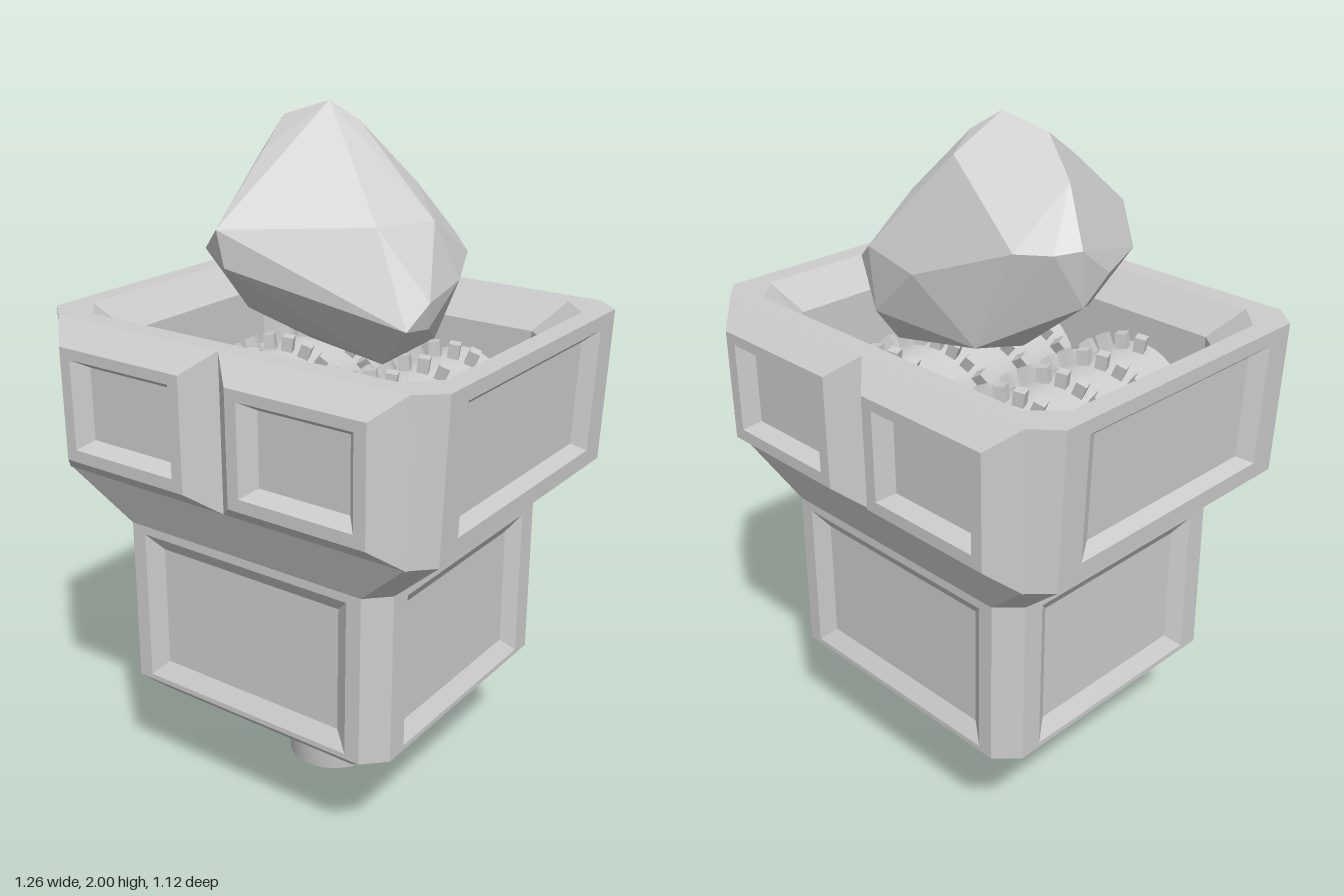
import * as THREE from 'three';
import { ConvexGeometry } from 'three/addons/geometries/ConvexGeometry.js';

const V = (x, y, z) => new THREE.Vector3(x, y, z);
const material = new THREE.MeshStandardMaterial({ color: 0xcccccc, side: THREE.DoubleSide });
const flat = new THREE.MeshStandardMaterial({ color: 0xcccccc, flatShading: true });

function mesh(name, geometry, mat = material) {
  const m = new THREE.Mesh(geometry, mat);
  m.name = name;
  return m;
}

// Octagonal cross-section, starting with the front side, anticlockwise from above
function octagon(y, x, z, cx, cz = cx) {
  return [[-x + cx, z], [x - cx, z], [x, z - cz], [x, cz - z],
    [x - cx, -z], [cx - x, -z], [-x, cz - z], [-x, z - cz]].map(([a, b]) => V(a, y, b));
}

// Collects polygons into one faceted geometry
class Facets {
  constructor() { this.points = []; }
  polygon(p) {
    for (let i = 1; i < p.length - 1; i++) this.points.push(p[0], p[i], p[i + 1]);
  }
  loft(lower, upper, skip = []) {
    const n = lower.length;
    for (let i = 0; i < n; i++) {
      const j = (i + 1) % n;
      if (!skip.includes(i)) this.polygon([lower[i], lower[j], upper[j], upper[i]]);
    }
  }
  // Rectangular face with a sloped recess; margins and slope are in units
  panel([a, b, c, d], mx, m0, m1, sx, sy, depth) {
    const w = a.distanceTo(b), h = a.distanceTo(d);
    const n = b.clone().sub(a).cross(d.clone().sub(a)).normalize();
    const at = (x, y, o) => a.clone().lerp(b, x / w).lerp(d.clone().lerp(c, x / w), y / h).addScaledVector(n, o);
    const rect = (x, y0, y1, o) => [at(x, y0, o), at(w - x, y0, o), at(w - x, y1, o), at(x, y1, o)];
    const mouth = rect(mx, m0, h - m1, 0);
    const floor = rect(mx + sx, m0 + sy, h - m1 - sy, -depth);
    this.loft([a, b, c, d], mouth);
    this.loft(mouth, floor);
    this.polygon(floor);
  }
  build() {
    const g = new THREE.BufferGeometry().setFromPoints(this.points);
    g.computeVertexNormals();
    return g;
  }
}

function housing() {
  const f = new Facets();
  const rings = [
    octagon(0.33, 0.39, 0.385, 0.06),
    octagon(0.38, 0.45, 0.435, 0.06),
    octagon(0.87, 0.45, 0.43, 0.06),
    octagon(1.02, 0.613, 0.49, 0.06),
    octagon(1.46, 0.63, 0.49, 0.07, 0.06),
    octagon(1.46, 0.57, 0.43, 0.08),
    octagon(1.38, 0.49, 0.355, 0.07, 0.055),
    octagon(1.2, 0.49, 0.355, 0.07, 0.055),
    octagon(1.03, 0.4, 0.355, 0.07, 0.055),
  ];
  const skips = { 1: [0, 2, 4, 6], 3: [2, 6] };
  f.polygon([...rings[0]].reverse());
  for (let k = 0; k < rings.length - 1; k++) {
    f.loft(rings[k], rings[k + 1], skips[k]);
    // Recessed wall panels
    for (const i of skips[k] ?? []) {
      const q = [rings[k][i], rings[k][i + 1], rings[k + 1][i + 1], rings[k + 1][i]];
      if (k === 1) f.panel(q, i % 4 ? 0.065 : 0.045, 0.015, 0.025, 0.045, 0.045, 0.03);
      else f.panel(q, 0.08, 0.05, 0.04, 0.05, 0.028, 0.03);
    }
  }
  f.polygon(rings.at(-1));
  return mesh('housing', f.build());
}

// Pair of bevelled window pads on the hopper's front
function hopperPads() {
  const f = new Facets();
  const rect = (x0, x1, y0, y1, z) => [V(x0, y0, z), V(x1, y0, z), V(x1, y1, z), V(x0, y1, z)];
  for (const side of [0, 1]) {
    const base = side ? [0, 0.56] : [-0.56, 0];
    const face = side ? [0.075, 0.49] : [-0.49, -0.075];
    const front = rect(...face, 1.08, 1.4, 0.56);
    f.loft(rect(...base, 1.02, 1.46, 0.49), front);
    f.panel(front, 0.035, 0.035, 0.03, 0.035, 0.025, 0.04);
  }
  return mesh('hopperPads', f.build());
}

// Crushing drum lying along z, with two spiral rows of teeth
function drum(x, name, phase) {
  const g = new THREE.Group();
  g.name = name;
  g.position.set(x, 1.13, 0);
  const roller = mesh('roller', new THREE.CylinderGeometry(0.17, 0.17, 0.7, 40));
  roller.rotation.x = Math.PI / 2;
  g.add(roller);
  const tooth = new THREE.BoxGeometry(0.045, 0.032, 0.032);
  const perTurn = 22, pitch = 0.32;
  for (let start = 0; start < 2; start++) {
    for (let i = -30; i <= 30; i++) {
      const z = (i / perTurn) * pitch + start * pitch / 2 + phase;
      if (Math.abs(z) > 0.32) continue;
      const angle = (i / perTurn) * Math.PI * 2;
      const t = mesh('tooth', tooth, flat);
      t.position.set(Math.cos(angle) * 0.19, Math.sin(angle) * 0.19, z);
      t.rotation.set(0, 0, angle);
      t.rotateX(0.4);
      g.add(t);
    }
  }
  return g;
}

function boulder() {
  const pts = [
    [-0.06, 2, -0.06], [0.01, 1.95, -0.1], [-0.18, 1.96, -0.02], [-0.27, 1.86, -0.04],
    [-0.345, 1.71, -0.07], [-0.33, 1.62, 0.05], [-0.335, 1.555, -0.05], [-0.265, 1.63, 0.22],
    [-0.145, 1.71, 0.315], [-0.13, 1.61, 0.305], [-0.16, 1.88, 0.1], [0.07, 1.82, 0.06],
    [0.2, 1.72, 0.095], [0.275, 1.72, -0.06], [0.13, 1.79, -0.195], [0, 1.9, -0.17],
    [0.2, 1.645, -0.29], [0.255, 1.6, -0.27], [0.32, 1.56, -0.12], [0.335, 1.535, 0.05],
    [0.31, 1.47, 0.12], [0.05, 1.6, -0.275], [-0.22, 1.7, -0.185], [-0.3, 1.7, -0.125],
    [-0.18, 1.465, 0.15], [-0.08, 1.36, 0], [0.2, 1.35, 0.06], [0.2, 1.36, -0.2],
    [0.2, 1.46, -0.275], [-0.1, 1.42, -0.2], [0.32, 1.46, 0.03],
  ];
  return mesh('boulder', new ConvexGeometry(pts.map((p) => V(...p))), flat);
}

// Plug connector below the housing: hex nut, sleeve, core and pins
function connector() {
  const g = new THREE.Group();
  g.name = 'connector';
  const nut = mesh('hexNut', new THREE.CylinderGeometry(0.185, 0.185, 0.08, 6), flat);
  nut.position.y = 0.29;
  const profile = [[0.12, 0.16], [0.12, 0.055], [0.138, 0.055], [0.145, 0.25]];
  const sleeveGeometry = new THREE.LatheGeometry(profile.map((p) => new THREE.Vector2(...p)), 32);
  const sleeve = mesh('sleeve', sleeveGeometry.toNonIndexed());
  const cap = mesh('sleeveFloor', new THREE.CylinderGeometry(0.121, 0.121, 0.02, 32));
  cap.position.y = 0.165;
  const core = mesh('core', new THREE.CylinderGeometry(0.093, 0.093, 0.13, 24));
  core.position.y = 0.095;
  g.add(nut, sleeve, cap, core);
  const pin = new THREE.CylinderGeometry(0.012, 0.012, 0.06, 10);
  for (let i = 0; i < 5; i++) {
    const a = Math.PI / 5 * (i + 0.5) + Math.PI;
    const p = mesh('pin', pin);
    p.position.set(Math.cos(a) * 0.062, 0.03, Math.sin(a) * 0.062);
    g.add(p);
  }
  return g;
}

export function createModel() {
  const model = new THREE.Group();
  model.name = 'rockCrusher';
  const front = hopperPads();
  const back = hopperPads();
  front.name = 'frontPads';
  back.name = 'backPads';
  back.rotation.y = Math.PI;
  model.add(housing(), front, back);
  model.add(drum(0.21, 'leftDrum', 0), drum(-0.21, 'rightDrum', 0.06));
  model.add(boulder(), connector());
  return model;
}
